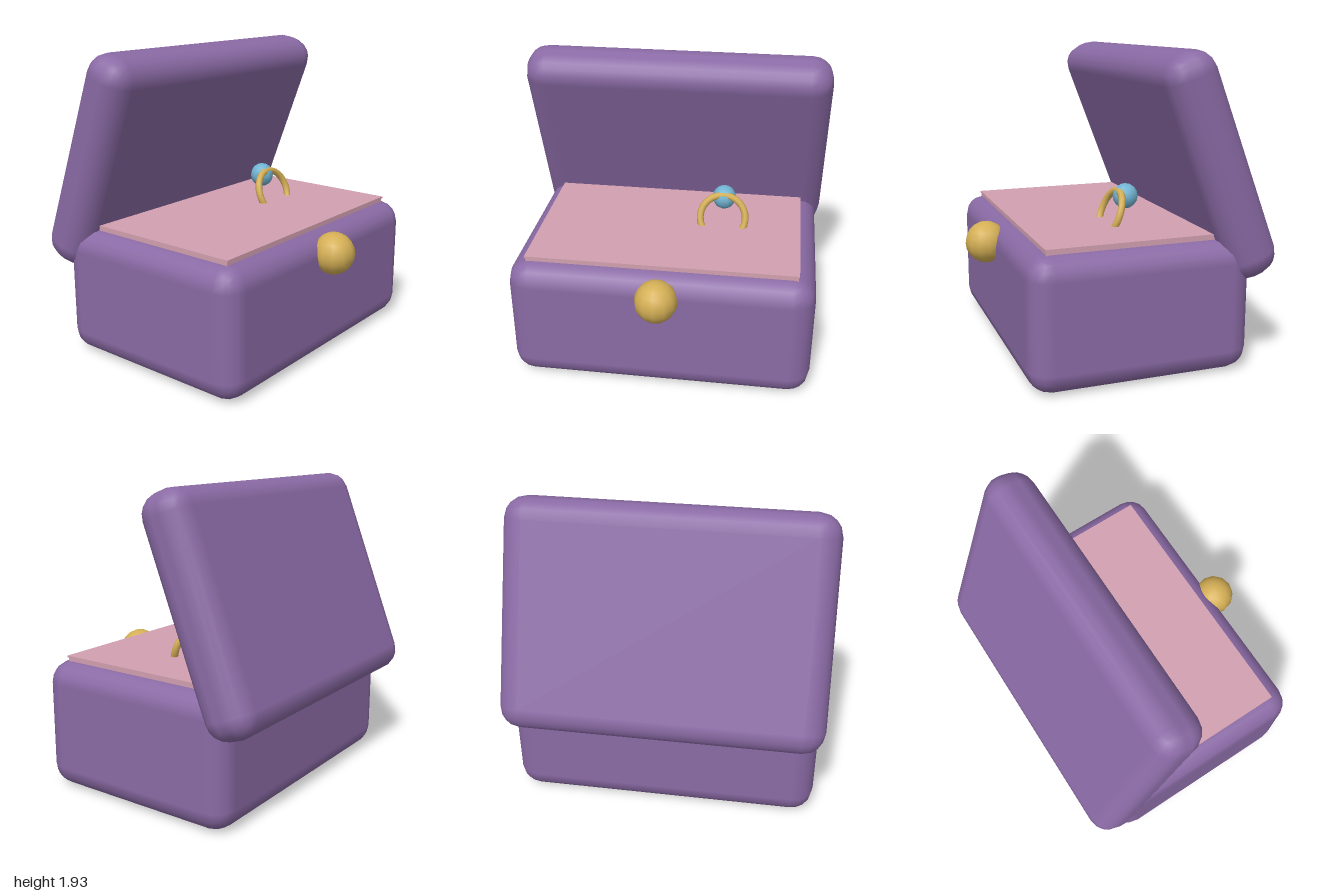
import * as THREE from 'three';
import { RoundedBoxGeometry } from 'three/addons/geometries/RoundedBoxGeometry.js';

function material(name, color) {
  const m = new THREE.MeshStandardMaterial({ color });
  m.name = name;
  return m;
}

export function createModel() {
  const group = new THREE.Group();
  group.name = 'jewelleryBox';
  const purple = material('purple', 0x8a6aa5);
  const pink = material('pink', 0xd2a0b0);
  const gold = material('gold', 0xd4af55);
  const blue = material('blue', 0x72b4d2);

  const add = (name, geometry, mat, x, y, z, tilt = 0) => {
    const mesh = new THREE.Mesh(geometry, mat);
    mesh.name = name;
    mesh.position.set(x, y, z);
    mesh.rotation.x = tilt;
    group.add(mesh);
  };

  const tilt = 0.37;

  // Rounded case and the open lid leaning over its back edge
  add('case', new RoundedBoxGeometry(1.93, 0.82, 1.38, 2, 0.14), purple, 0, 0.41, 0);
  add('lid', new RoundedBoxGeometry(2, 1.43, 0.33, 2, 0.14), purple, 0, 1.247, -0.483, tilt);

  // Cushion with a slightly wider top sheet
  add('cushion', new THREE.BoxGeometry(1.7, 0.1, 1.14), pink, 0, 0.788, 0);
  add('cushionTop', new THREE.BoxGeometry(1.712, 0.012, 1.152), pink, 0, 0.843, 0);

  // Ring half sunk in the cushion, with its stone behind the crown
  add('ring', new THREE.TorusGeometry(0.15, 0.023, 8, 24), gold, 0.34, 0.9, 0, -tilt);
  add('gem', new THREE.SphereGeometry(0.08, 10, 8), blue, 0.34, 1.005, -0.1);

  // Round clasp on the front
  add('clasp', new THREE.SphereGeometry(0.134, 12, 10), gold, 0, 0.693, 0.724);

  return group;
}
